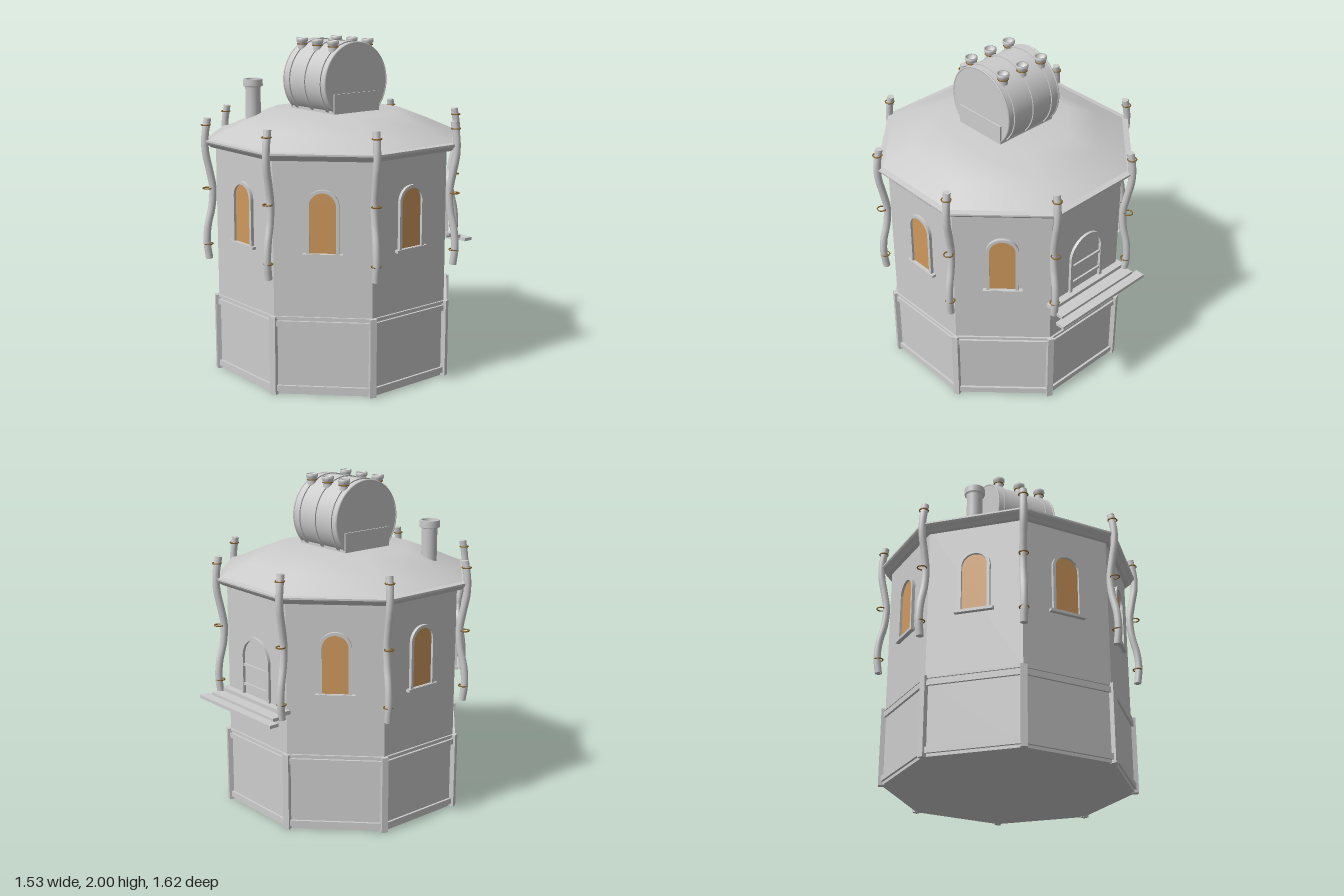
import * as THREE from 'three';

const CZ = 0.043;                        // centre of the octagon
const COS = Math.cos(Math.PI / 8);
const grey = new THREE.MeshStandardMaterial({ color: 0xcccccc });
grey.name = 'stone grey';
const amber = new THREE.MeshStandardMaterial({ color: 0xcf995d });
amber.name = 'amber glass';
const brass = new THREE.MeshStandardMaterial({ color: 0x8a6424 });
brass.name = 'dark brass';

function add(parent, name, geo, mat = grey, x = 0, y = 0, z = 0) {
  const m = new THREE.Mesh(geo, mat);
  m.name = name;
  m.position.set(x, y, z);
  parent.add(m);
  return m;
}

function box(parent, name, x0, x1, y0, y1, z0, z1) {
  return add(parent, name, new THREE.BoxGeometry(x1 - x0, y1 - y0, z1 - z0), grey,
    (x0 + x1) / 2, (y0 + y1) / 2, (z0 + z1) / 2);
}

// Eight-sided solid from [apothem, y] pairs, listed bottom to top
function octagon(profile, smooth) {
  let g = new THREE.LatheGeometry(profile.map(([a, y]) => new THREE.Vector2(a / COS, y)), 8);
  g.rotateY(Math.PI / 8);
  if (!smooth) {
    g = g.toNonIndexed();
    g.computeVertexNormals();
  }
  return g;
}

function lathe(profile, sides = 24) {
  return new THREE.LatheGeometry(profile.map(([r, y]) => new THREE.Vector2(r, y)), sides);
}

// Round-headed outline: half width w, from y0 up to the crown at y1
function arch(w, y0, y1, Type = THREE.Shape) {
  const s = new Type();
  s.moveTo(-w, y0);
  s.lineTo(w, y0);
  s.lineTo(w, y1 - w);
  s.absarc(0, y1 - w, w, 0, Math.PI, false);
  s.lineTo(-w, y0);
  return s;
}

function archFrame(w, t, y0, y1, depth) {
  const s = arch(w, y0, y1);
  s.holes.push(arch(w - t, y0 + 0.003, y1 - t, THREE.Path));
  return new THREE.ExtrudeGeometry(s, { depth, bevelEnabled: false, curveSegments: 16 });
}

function addWindow(side) {
  add(side, 'windowGlass', new THREE.ShapeGeometry(arch(0.08, 0.845, 1.198), 16), amber, 0, 0, 0.684);
  add(side, 'windowFrame', archFrame(0.094, 0.018, 0.843, 1.212, 0.022), grey, 0, 0, 0.677);
  box(side, 'windowSill', -0.115, 0.115, 0.828, 0.845, 0.67, 0.706);
}

function addDoor(side) {
  add(side, 'doorFrame', archFrame(0.135, 0.02, 0.69, 1.11, 0.02), grey, 0, 0, 0.677);
  for (const y of [0.8, 0.92]) box(side, 'doorBar', -0.118, 0.118, y - 0.008, y + 0.008, 0.67, 0.692);
  box(side, 'doorSill', -0.15, 0.15, 0.685, 0.7, 0.67, 0.71);
  // stepped planks of the balcony
  box(side, 'balconyUpperPlank', -0.305, 0.305, 0.718, 0.742, 0.67, 0.725);
  box(side, 'balconyMiddlePlank', -0.305, 0.305, 0.7, 0.72, 0.72, 0.797);
  box(side, 'balconyOuterPlank', -0.35, 0.35, 0.684, 0.704, 0.793, 0.853);
}

function addCornerPipe(corner) {
  const pts = [[0.79, 0.7], [0.802, 0.8], [0.795, 0.9], [0.768, 1.02], [0.76, 1.13], [0.778, 1.24],
    [0.799, 1.35], [0.8, 1.44], [0.782, 1.55]].map(([r, y]) => new THREE.Vector3(0, y, r));
  add(corner, 'wavyPipe', new THREE.TubeGeometry(new THREE.CatmullRomCurve3(pts), 36, 0.022, 14));
  const disc = new THREE.CircleGeometry(0.022, 14);
  add(corner, 'pipeTop', disc, grey, 0, 1.55, 0.782).rotation.x = -Math.PI / 2;
  add(corner, 'pipeBottom', disc, grey, 0, 0.7, 0.79).rotation.x = Math.PI / 2;
  for (const y of [0.79, 1.13, 1.51]) {
    add(corner, 'pipeRing', new THREE.TorusGeometry(0.026, 0.004, 6, 24), brass, 0, y, 0.793).rotation.x = Math.PI / 2;
  }
}

function addBarrel(parent) {
  const barrel = new THREE.Group();
  barrel.name = 'barrelDome';
  parent.add(barrel);
  const R = 0.236, Y = 1.752;
  const drum = (name, r, len, x) => {
    add(barrel, name, new THREE.CylinderGeometry(r, r, len, 64), grey, x, Y, 0).rotation.z = Math.PI / 2;
  };
  drum('drum', R, 0.4, 0);
  for (const s of [-1, 1]) {
    const rim = add(barrel, 'endRim', new THREE.TorusGeometry(R - 0.001, 0.006, 6, 64), grey, s * 0.197, Y, 0);
    rim.rotation.y = Math.PI / 2;
  }
  box(barrel, 'saddle', -0.209, 0.209, 1.56, 1.692, -0.174, 0.174);
  const cap = lathe([[0.027, 1.9], [0.027, 1.962], [0.029, 1.972], [0.036, 1.984], [0.036, 2],
    [0.028, 2], [0.026, 1.975], [0, 1.975]]);
  for (const x of [-0.147, 0, 0.147]) {
    drum('hoop', R + 0.007, 0.024, x);
    for (const z of [-0.133, 0.133]) {
      add(barrel, 'ventCap', cap, grey, x, 0, z);
      add(barrel, 'ventRing', new THREE.TorusGeometry(0.029, 0.004, 6, 24), brass, x, 1.965, z).rotation.x = Math.PI / 2;
    }
  }
}

export function createModel() {
  const root = new THREE.Group();
  root.name = 'octagonalTower';
  const tower = new THREE.Group();
  tower.name = 'tower';
  tower.position.z = CZ;
  root.add(tower);

  // Walls, base, cornice and roof
  add(tower, 'walls', octagon([[0.68, 0.46], [0.68, 1.4]]));
  add(tower, 'base', octagon([[0, 0.002], [0.683, 0.002], [0.683, 0.455], [0.692, 0.455], [0.692, 0.47], [0.67, 0.47]]));
  add(tower, 'cornice', octagon([[0.67, 1.375], [0.705, 1.375], [0.72, 1.388], [0.738, 1.4], [0.745, 1.41],
    [0.745, 1.42], [0.71, 1.424]]));
  add(tower, 'roof', octagon([[0.72, 1.419], [0.55, 1.499], [0.375, 1.574], [0, 1.577]], true));

  for (let i = 0; i < 8; i++) {
    // One wall face with its opening and base rails
    const side = new THREE.Group();
    side.name = 'side' + i;
    side.rotation.y = i * Math.PI / 4;
    tower.add(side);
    if (i === 4) addDoor(side);
    else addWindow(side);
    box(side, 'lowerRail', -0.28, 0.28, 0.02, 0.055, 0.67, 0.697);
    box(side, 'upperRail', -0.28, 0.28, 0.412, 0.445, 0.67, 0.697);

    // One corner with its post and pipe
    const corner = new THREE.Group();
    corner.name = 'corner' + i;
    corner.rotation.y = (i + 0.5) * Math.PI / 4;
    tower.add(corner);
    box(corner, 'basePost', -0.019, 0.019, 0, 0.47, 0.722, 0.76);
    addCornerPipe(corner);
  }

  addBarrel(tower);

  // Chimney with a wider hollow collar
  add(tower, 'chimney', lathe([[0.047, 1.42], [0.047, 1.695], [0.06, 1.702], [0.061, 1.703], [0.061, 1.743],
    [0.06, 1.745], [0.05, 1.745], [0.049, 1.743], [0.047, 1.68], [0, 1.68]], 28), grey, -0.408, 0, 0.317);
  return root;
}
